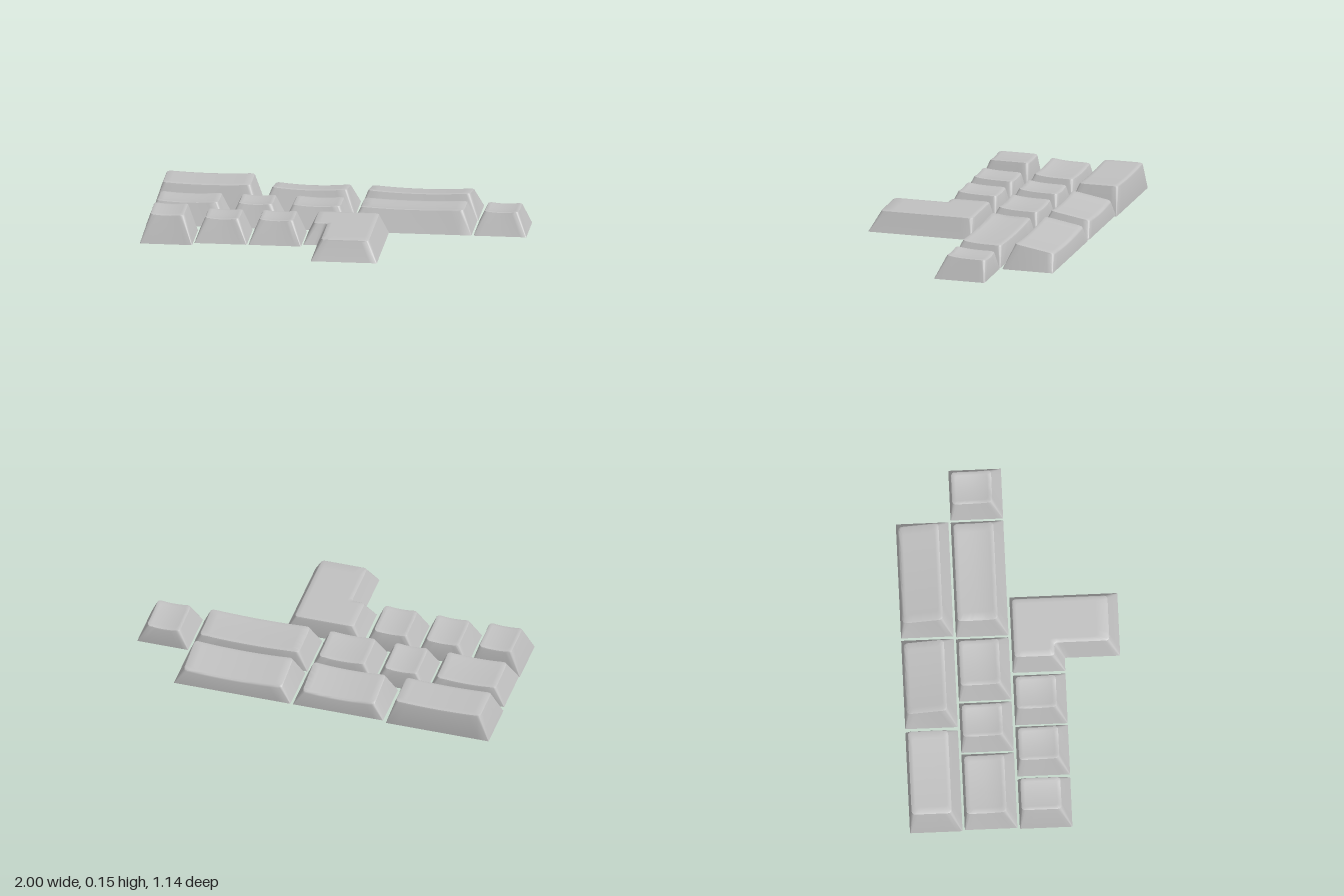
import * as THREE from 'three';
import { toCreasedNormals } from 'three/addons/utils/BufferGeometryUtils.js';

const lerp = THREE.MathUtils.lerp;

// Moves the edges of an axis-aligned outline inwards, by a distance per facing
function inset(poly, { side, front, back }) {
  const n = poly.length;
  const shift = (a, b) => {
    const nx = -Math.sign(b[1] - a[1]), nz = Math.sign(b[0] - a[0]);
    return [-nx * side, nz > 0 ? -front : nz < 0 ? back : 0];
  };
  return poly.map((p, i) => {
    const s = shift(poly[(i + n - 1) % n], p), t = shift(p, poly[(i + 1) % n]);
    return [p[0] + s[0] + t[0], p[1] + s[1] + t[1]];
  });
}

// Samples an outline with rounded corners, always with the same point count
function outline(poly, radius, arc = 5, steps = 10) {
  const n = poly.length, out = [];
  const toward = (a, b, d) => {
    const k = d / Math.hypot(b[0] - a[0], b[1] - a[1]);
    return new THREE.Vector2(lerp(a[0], b[0], k), lerp(a[1], b[1], k));
  };
  poly.forEach((p, i) => {
    const prev = poly[(i + n - 1) % n], next = poly[(i + 1) % n];
    const curve = new THREE.QuadraticBezierCurve(
      toward(p, prev, radius), new THREE.Vector2(...p), toward(p, next, radius));
    out.push(...curve.getPoints(arc));
    const end = toward(next, p, radius);
    for (let s = 1; s < steps; s++) out.push(curve.v2.clone().lerp(end, s / steps));
  });
  return out;
}

// Joins loops of equal length; the first and last loops are single points
function loft(loops) {
  const pos = [], n = loops[0].length;
  for (let l = 0; l < loops.length - 1; l++) {
    const a = loops[l], b = loops[l + 1];
    for (let i = 0; i < n; i++) {
      const j = (i + 1) % n;
      if (l > 0) pos.push(...a[i], ...a[j], ...b[j]);
      if (l < loops.length - 2) pos.push(...a[i], ...b[j], ...b[i]);
      else if (l > 0 && b[i] === b[j]) pos.push();
    }
  }
  const g = new THREE.BufferGeometry();
  g.setAttribute('position', new THREE.Float32BufferAttribute(pos, 3));
  return toCreasedNormals(g, 0.62);
}

// One hollow keycap: cavity, bottom rim, sloping walls, rounded edge, dished top
function keycap(poly, { base, front, back, power = 1, dip = 0 }, centre) {
  const topPoly = inset(poly, { side: 0.047, front: 0.052, back: 0.009 });
  const xs = topPoly.map(p => p[0]), zs = topPoly.map(p => p[1]);
  const x0 = Math.min(...xs), x1 = Math.max(...xs);
  const z0 = Math.min(...zs), z1 = Math.max(...zs);
  const mid = new THREE.Vector2(...(centre || [(x0 + x1) / 2, (z0 + z1) / 2]));

  const topY = p => {
    const u = THREE.MathUtils.clamp((p.x - (x0 + x1) / 2) / ((x1 - x0) / 2), -1, 1);
    const t = THREE.MathUtils.clamp((p.y - z0) / (z1 - z0), 0, 1);
    return lerp(back, front, t ** power) - dip * (1 - u * u);
  };
  const at = (pts, y) => pts.map(p => [p.x, typeof y === 'function' ? y(p) : y, p.y]);
  const shrink = (pts, k) => pts.map(p => mid.clone().lerp(p, k));
  const grown = d => outline(inset(topPoly, { side: d, front: d, back: d }), 0.022);

  const ceiling = outline(inset(topPoly, { side: 0.02, front: 0.02, back: 0.02 }), 0.01);
  const innerRim = outline(inset(poly, { side: 0.02, front: 0.02, back: 0.02 }), 0.004);
  const outerRim = outline(poly, 0.004);
  const ceilingY = Math.min(front, back) - dip - 0.022;
  const edge = grown(0.009);

  return loft([
    at(shrink(ceiling, 0), ceilingY),
    at(ceiling, ceilingY),
    at(innerRim, base),
    at(outerRim, base),
    at(grown(-0.001), p => topY(p) - 0.011),
    at(grown(0.002), p => topY(p) - 0.004),
    at(edge, topY),
    ...[0.85, 0.65, 0.4, 0.2, 0].map(k => at(shrink(edge, k), topY)),
  ]);
}

const rect = (x0, x1, z0, z1) => [[x0, z0], [x0, z1], [x1, z1], [x1, z0]];

export function createModel() {
  const group = new THREE.Group();
  const grey = new THREE.MeshStandardMaterial({ color: 0xc0c0c0 });
  grey.name = 'keycapGrey';

  const add = (name, geometry) => {
    const mesh = new THREE.Mesh(geometry, grey);
    mesh.name = name;
    group.add(mesh);
  };

  // Height profiles of the rows
  const tall = { base: 0, front: 0.152, back: 0.152, dip: 0.008 };
  const sloped = { base: 0.012, front: 0.145, back: 0.107, dip: 0.012 };
  const middle = { base: 0.015, front: 0.141, back: 0.127, power: 4, dip: 0.009 };
  const near = { base: 0.012, front: 0.143, back: 0.131, power: 4, dip: 0.009 };
  const flat = { base: 0.022, front: 0.13, back: 0.13 };

  // Rows of rectangular keys: depth range, then [left edge, right edge, profile]
  const rows = [
    { name: 'backRowKey', z: [-0.57, -0.295],
      keys: [[-1, -0.44, tall], [-0.425, 0.067, sloped], [0.08, 0.715, sloped]] },
    { name: 'middleRowKey', z: [-0.283, -0.008],
      keys: [[-1, -0.58, middle], [-0.57, -0.295, middle], [-0.285, 0.062, middle],
        [0.073, 0.712, middle], [0.723, 1, middle]] },
    { name: 'frontRowKey', z: [0.005, 0.28],
      keys: [[-1, -0.725, tall], [-0.713, -0.437, near], [-0.428, -0.152, near]] },
  ];
  for (const { name, z, keys } of rows) {
    keys.forEach(([x0, x1, profile], i) =>
      add(name + (i + 1), keycap(rect(x0, x1, ...z), profile)));
  }

  // L-shaped key
  const ell = [[-0.14, 0.005], [-0.14, 0.28], [-0.068, 0.28],
    [-0.068, 0.57], [0.28, 0.57], [0.28, 0.005]];
  add('cornerKey', keycap(ell, flat, [0.1, 0.12]));

  return group;
}
